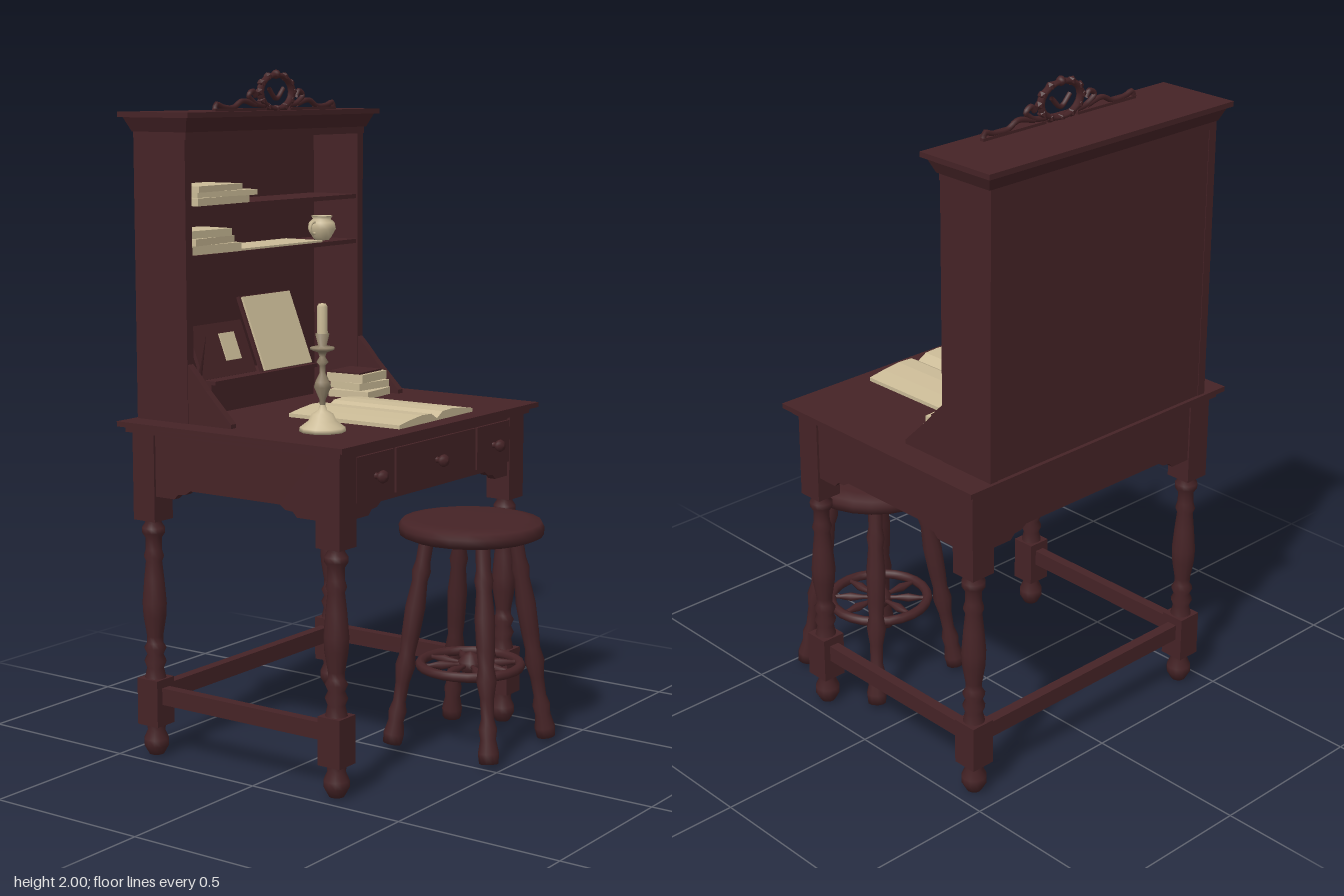
import * as THREE from 'three';

export function createModel() {
  const model = new THREE.Group();
  model.name = 'writingDesk';
  const mat = (name, color) => {
    const m = new THREE.MeshStandardMaterial({ color, side: THREE.DoubleSide });
    m.name = name;
    return m;
  };
  const wood = mat('darkWood', 0x452326);
  const cream = mat('creamPaper', 0xcbbb97);
  const brass = mat('dullBrass', 0x8f8068);

  const add = (name, geo, m = wood, x = 0, y = 0, z = 0, parent = model) => {
    const mesh = new THREE.Mesh(geo, m);
    mesh.name = name;
    mesh.position.set(x, y, z);
    parent.add(mesh);
    return mesh;
  };
  // box given by its limits
  const box = (name, x0, x1, y0, y1, z0, z1) =>
    add(name, new THREE.BoxGeometry(x1 - x0, y1 - y0, z1 - z0), wood, (x0 + x1) / 2, (y0 + y1) / 2, (z0 + z1) / 2);
  const lathe = (pts, n = 12) => new THREE.LatheGeometry(pts.map(p => new THREE.Vector2(p[0], p[1])), n);
  const tube = (pts, r) =>
    new THREE.TubeGeometry(new THREE.CatmullRomCurve3(pts.map(p => new THREE.Vector3(...p))), 24, r, 6);
  const extrude = (pts, depth) => new THREE.ExtrudeGeometry(
    new THREE.Shape(pts.map(p => new THREE.Vector2(p[0], p[1]))), { depth, bevelEnabled: false });

  // Table top with a moulded lower edge
  box('tableTop', -0.51, 0.51, 0.985, 1.0, -0.48, 0.32);
  box('tableTopMoulding', -0.49, 0.49, 0.968, 0.985, -0.465, 0.3);

  // Four turned legs
  const turned = lathe([[0.034, 0.225], [0.025, 0.265], [0.033, 0.285], [0.024, 0.305], [0.033, 0.325], [0.024, 0.34],
    [0.024, 0.36], [0.034, 0.42], [0.036, 0.46], [0.03, 0.53], [0.024, 0.585], [0.03, 0.6], [0.024, 0.62],
    [0.024, 0.655], [0.034, 0.67], [0.034, 0.685], [0.024, 0.7], [0.03, 0.715]]);
  const foot = lathe([[0, 0], [0.022, 0.003], [0.037, 0.03], [0.037, 0.05], [0.026, 0.075], [0.03, 0.1]]);
  for (const x of [-0.437, 0.437]) for (const z of [-0.41, 0.248]) {
    const leg = new THREE.Group();
    leg.name = 'leg';
    leg.position.set(x, 0, z);
    model.add(leg);
    add('legTopBlock', new THREE.BoxGeometry(0.08, 0.26, 0.08), wood, 0, 0.84, 0, leg);
    add('legTurning', turned, wood, 0, 0, 0, leg);
    add('legLowerBlock', new THREE.BoxGeometry(0.076, 0.14, 0.076), wood, 0, 0.165, 0, leg);
    add('legFoot', foot, wood, 0, 0, 0, leg);
  }

  // Stretchers at both sides and the back
  for (const x of [-0.437, 0.437]) box('sideStretcher', x - 0.016, x + 0.016, 0.16, 0.21, -0.38, 0.22);
  box('backStretcher', -0.41, 0.41, 0.16, 0.21, -0.426, -0.394);

  // Aprons with shaped ends
  const apron = (half) => extrude([[-half, 0.97], [-half, 0.785], [-half + 0.07, 0.785], [-half + 0.085, 0.8],
    [-half + 0.11, 0.802], [-half + 0.13, 0.815], [half - 0.13, 0.815], [half - 0.11, 0.802],
    [half - 0.085, 0.8], [half - 0.07, 0.785], [half, 0.785], [half, 0.97]], 0.025);
  add('frontApron', apron(0.4), wood, 0, 0, 0.255);
  add('backApron', apron(0.4), wood, 0, 0, -0.445);
  for (const x of [-0.47, 0.445]) add('sideApron', apron(0.29), wood, x, 0, -0.081).rotation.y = Math.PI / 2;

  // Three drawers with knobs
  const knob = lathe([[0.01, 0], [0.008, 0.01], [0.015, 0.016], [0.019, 0.026], [0.014, 0.036], [0, 0.04]]);
  for (const [x0, x1] of [[-0.395, -0.215], [-0.205, 0.205], [0.215, 0.395]]) {
    box('drawerFront', x0, x1, 0.83, 0.957, 0.275, 0.288);
    add('drawerKnob', knob, wood, (x0 + x1) / 2, 0.893, 0.286).rotation.x = Math.PI / 2;
  }

  // Shelf unit: sides with sloping wings, back, shelves
  for (const x of [-0.43, 0.402]) {
    box('cabinetSide', x, x + 0.028, 1.0, 1.83, -0.47, -0.28);
    const wing = extrude([[0.27, 1.0], [0.125, 1.0], [0.125, 1.012], [0.215, 1.1], [0.25, 1.14], [0.285, 1.175], [0.285, 1.0]], 0.024);
    add('sideWing', wing, wood, x + 0.002, 0, 0).rotation.y = Math.PI / 2;
  }
  box('cabinetBack', -0.41, 0.41, 1.0, 1.84, -0.468, -0.45);
  for (const y of [1.472, 1.612]) box('shelf', -0.404, 0.404, y - 0.008, y + 0.005, -0.455, -0.285);
  box('cabinetHeader', -0.43, 0.43, 1.805, 1.835, -0.47, -0.276);

  // Flared cornice
  const flare = new THREE.BoxGeometry(0.87, 0.045, 0.2);
  const p = flare.attributes.position;
  for (let i = 0; i < p.count; i++) if (p.getY(i) > 0) p.setXYZ(i, p.getX(i) * 1.045, p.getY(i), p.getZ(i) * 1.2);
  flare.computeVertexNormals();
  add('corniceFlare', flare, wood, 0, 1.848, -0.371);
  box('corniceCap', -0.463, 0.463, 1.866, 1.881, -0.5, -0.24);

  // Carved crest: wreath, bow and mirrored scrolls
  const crest = new THREE.Group();
  crest.name = 'crest';
  crest.position.set(0, 1.88, -0.288);
  model.add(crest);
  const wreath = add('crestWreath', new THREE.TorusGeometry(0.066, 0.011, 6, 20), wood, 0, 0.055, 0, crest);
  wreath.scale.set(1.15, 0.75, 1);
  for (let i = 0; i < 12; i++) {
    const a = i * Math.PI / 6;
    add('wreathLeaf', new THREE.IcosahedronGeometry(0.014, 0), wood, 0.08 * Math.cos(a), 0.055 + 0.051 * Math.sin(a), 0, crest);
  }
  add('crestRibbon', tube([[-0.035, 0.065, 0], [0, 0.035, 0], [0.035, 0.065, 0]], 0.007), wood, 0, 0, 0, crest);
  add('crestFinial', new THREE.SphereGeometry(0.014, 8, 6), wood, 0, 0.106, 0, crest);
  for (const s of [-1, 1]) {
    add('crestScroll', tube([[0.06, 0.015, 0], [0.1, 0.022, 0], [0.13, 0.045, 0], [0.11, 0.058, 0], [0.097, 0.042, 0]]
      .map(([x, y, z]) => [s * x, y, z]), 0.008), wood, 0, 0, 0, crest);
    add('crestOuterScroll', tube([[0.1, 0.018, 0], [0.16, 0.03, 0], [0.2, 0.012, 0], [0.25, 0.014, 0], [0.28, 0.022, 0], [0.285, 0.008, 0]]
      .map(([x, y, z]) => [s * x, y, z]), 0.008), wood, 0, 0, 0, crest);
    add('crestRail', new THREE.BoxGeometry(0.23, 0.01, 0.014), wood, s * 0.175, 0.004, 0, crest);
  }

  // Reading stand with leaning board, sheet and note
  box('standBase', -0.25, 0.25, 1.0, 1.09, -0.455, -0.34);
  box('standLedge', -0.25, 0.25, 1.086, 1.097, -0.455, -0.325);
  const lean = (name, w, h, t, m, x, y, z) => {
    add(name, new THREE.BoxGeometry(w, h, t), m, x, y, z).rotation.x = -0.38;
  };
  lean('leaningBoard', 0.25, 0.165, 0.012, wood, -0.125, 1.172, -0.405);
  lean('smallNote', 0.07, 0.085, 0.004, cream, -0.097, 1.182, -0.393);
  lean('leaningFolio', 0.245, 0.24, 0.012, wood, 0.12, 1.207, -0.394);
  lean('leaningSheet', 0.235, 0.235, 0.008, cream, 0.122, 1.209, -0.385);

  // Open book with two curved pages
  const half = [[0, 0.008], [0.03, 0.025], [0.08, 0.027], [0.14, 0.021], [0.195, 0.013], [0.195, 0.002]];
  const section = [...half.map(([x, y]) => [-x, y]).reverse(), ...half.slice(1)];
  const book = add('openBook', extrude(section, 0.385), cream, 0.024, 1.0, -0.118);
  book.rotation.y = 0.015;

  // Stacked books and papers: [centre x, bottom y, centre z, width, height, depth, turn]
  const stacks = [
    [-0.26, 1.617, -0.355, 0.25, 0.022, 0.15, 0.05], [-0.23, 1.639, -0.35, 0.24, 0.016, 0.14, -0.12],
    [-0.27, 1.655, -0.35, 0.22, 0.018, 0.13, 0.08],
    [-0.28, 1.477, -0.36, 0.22, 0.026, 0.14, -0.04], [-0.285, 1.503, -0.36, 0.2, 0.02, 0.13, 0.1],
    [-0.29, 1.523, -0.36, 0.18, 0.022, 0.12, -0.05],
    [0.03, 1.477, -0.36, 0.4, 0.006, 0.14, 0],
    [0.3, 1.002, -0.2, 0.14, 0.022, 0.14, 0.1], [0.31, 1.026, -0.205, 0.14, 0.022, 0.12, -0.1],
    [0.3, 1.05, -0.21, 0.14, 0.026, 0.13, 0.06]];
  for (const [x, y, z, w, h, d, turn] of stacks)
    add('stackedPapers', new THREE.BoxGeometry(w, h, d), cream, x, y + h / 2, z).rotation.y = turn;
  add('bookCover', new THREE.BoxGeometry(0.125, 0.006, 0.115), wood, 0.297, 1.078, -0.214).rotation.y = 0.06;

  // Round cup on the shelf
  add('cup', lathe([[0, 0], [0.022, 0], [0.03, 0.01], [0.044, 0.035], [0.04, 0.055], [0.028, 0.065], [0.034, 0.075]]), cream, 0.295, 1.478, -0.34);
  add('cupHandle', new THREE.TorusGeometry(0.018, 0.005, 6, 12), cream, 0.253, 1.517, -0.34);

  // Ink bottle with quill
  add('inkBottle', lathe([[0, 0], [0.034, 0], [0.034, 0.02], [0.014, 0.05], [0.011, 0.075], [0.018, 0.09], [0, 0.09]]), cream, -0.365, 1.0, -0.29);
  const quill = add('quill', new THREE.ConeGeometry(0.016, 0.2, 6), wood, -0.345, 1.15, -0.3);
  quill.rotation.z = -0.25;
  quill.scale.z = 0.3;

  // Candlestick and candle
  add('candlestickBase', lathe([[0, 0], [0.066, 0], [0.064, 0.012], [0.04, 0.03], [0.03, 0.05], [0.013, 0.06], [0.008, 0.075]], 10), cream, -0.305, 1.0, 0.105);
  add('candlestickStem', lathe([[0.007, 0.07], [0.009, 0.09], [0.024, 0.125], [0.02, 0.14], [0.008, 0.165], [0.008, 0.185],
    [0.017, 0.195], [0.008, 0.21], [0.012, 0.222], [0.034, 0.23], [0.034, 0.237], [0.012, 0.242], [0.02, 0.275], [0, 0.276]], 10), brass, -0.305, 1.0, 0.105);
  add('candle', lathe([[0.015, 0.27], [0.015, 0.35], [0.01, 0.358], [0, 0.36]], 10), cream, -0.305, 1.0, 0.105);

  // Stool: round seat, four splayed legs, footrest wheel
  const stool = new THREE.Group();
  stool.name = 'stool';
  stool.position.set(0.188, 0, 0.287);
  model.add(stool);
  add('stoolSeat', lathe([[0, 0.636], [0.19, 0.636], [0.214, 0.646], [0.216, 0.668], [0.208, 0.684], [0.17, 0.692], [0, 0.694]], 24), wood, 0, 0, 0, stool);
  const stoolLeg = lathe([[0, 0], [0.028, 0], [0.031, 0.03], [0.023, 0.07], [0.027, 0.1], [0.019, 0.13], [0.021, 0.19],
    [0.03, 0.24], [0.023, 0.28], [0.027, 0.33], [0.03, 0.42], [0.023, 0.5], [0.028, 0.53], [0.022, 0.56], [0.022, 0.65]], 10);
  for (const sx of [-1, 1]) for (const sz of [-1, 1]) {
    const leg = add('stoolLeg', stoolLeg, wood, sx * 0.163, 0.012, sz * 0.17, stool);
    leg.quaternion.setFromUnitVectors(new THREE.Vector3(0, 1, 0), new THREE.Vector3(-sx * 0.075, 0.64, -sz * 0.075).normalize());
  }
  add('footRing', new THREE.TorusGeometry(0.15, 0.015, 8, 24), wood, 0, 0.245, 0, stool).rotation.x = Math.PI / 2;
  add('footHub', lathe([[0, 0.205], [0.02, 0.215], [0.036, 0.235], [0.036, 0.255], [0.02, 0.275], [0, 0.285]]), wood, 0, 0, 0, stool);
  const spoke = lathe([[0.007, 0.02], [0.007, 0.05], [0.014, 0.09], [0.007, 0.125], [0.007, 0.15]], 8);
  for (let i = 0; i < 8; i++)
    add('footSpoke', spoke, wood, 0, 0.245, 0, stool).rotation.set(Math.PI / 2, 0, i * Math.PI / 4);

  return model;
}
